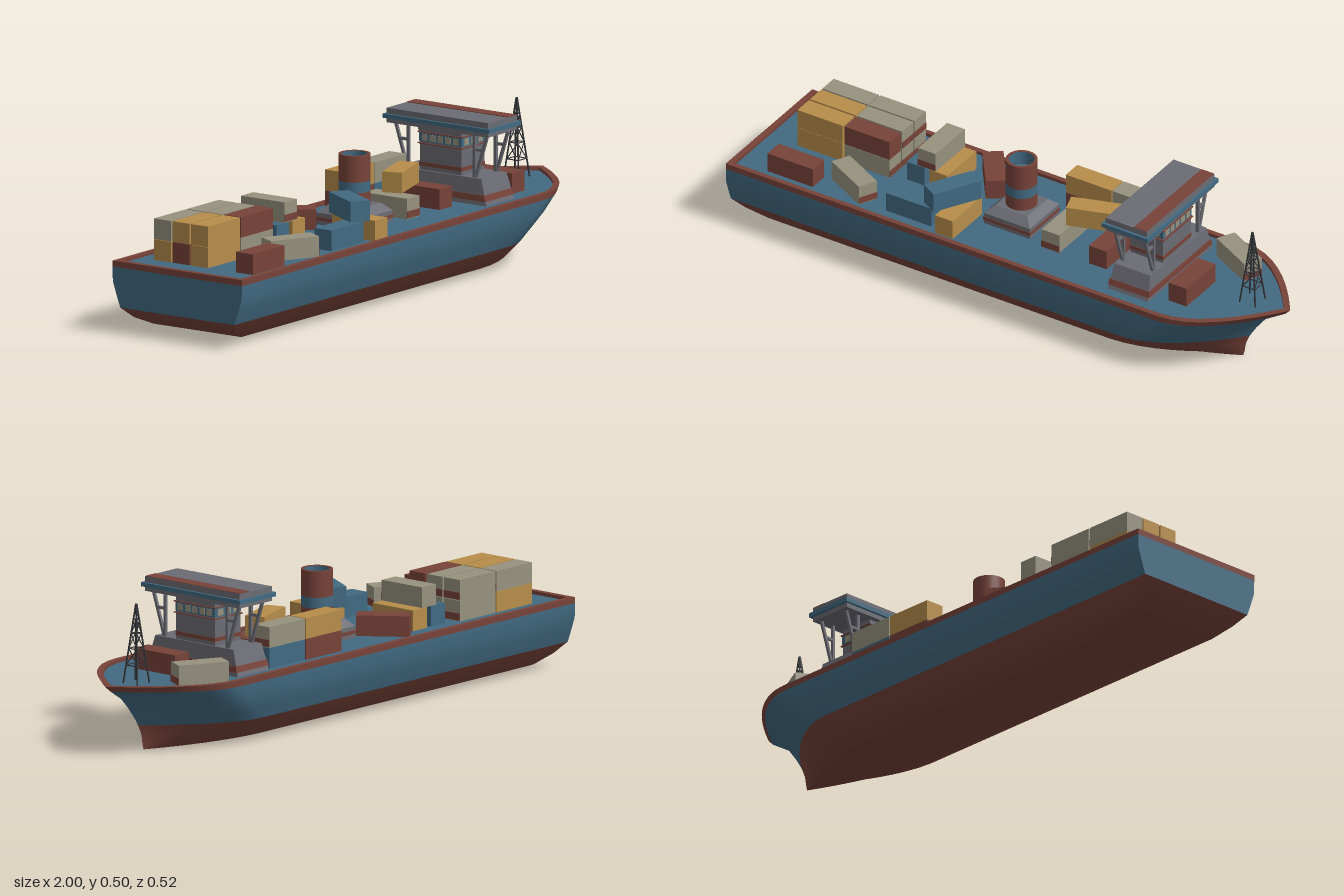
import * as THREE from 'three';
import { toCreasedNormals } from 'three/addons/utils/BufferGeometryUtils.js';

const mat = (name, color, side = THREE.FrontSide) =>
  Object.assign(new THREE.MeshStandardMaterial({ color, side }), { name });

export function createModel() {
  const model = new THREE.Group();
  model.name = 'cargoShip';
  const blue = mat('blue', 0x426a82, THREE.DoubleSide);
  const red = mat('red', 0x774238, THREE.DoubleSide);
  const yellow = mat('yellow', 0xb68d4a);
  const beige = mat('beige', 0x97927f);
  const grey = mat('grey', 0x6b6b74);
  const dark = mat('darkSteel', 0x34363a);

  const add = (name, geo, material, parent = model) => {
    const mesh = new THREE.Mesh(geo, material);
    mesh.name = name;
    parent.add(mesh);
    return mesh;
  };
  // box given by its lower and upper limits
  const box = (name, material, x0, x1, y0, y1, z0, z1, parent = model) => {
    const m = add(name, new THREE.BoxGeometry(x1 - x0, y1 - y0, z1 - z0), material, parent);
    m.position.set((x0 + x1) / 2, (y0 + y1) / 2, (z0 + z1) / 2);
    return m;
  };
  // square bar between two points
  const beam = (name, material, a, b, t, parent = model) => {
    const p = new THREE.Vector3(...a), q = new THREE.Vector3(...b);
    const m = add(name, new THREE.BoxGeometry(t, p.distanceTo(q), t), material, parent);
    m.position.copy(p).add(q).multiplyScalar(0.5);
    m.quaternion.setFromUnitVectors(new THREE.Vector3(0, 1, 0), q.sub(p).normalize());
    return m;
  };

  // ---- Hull: horizontal rings, stern to bow and back ----
  const MID = 6, TAPER = 12, M = MID + TAPER, N = 2 * M + 1;
  const ring = ([y, stern, bow, w, start, power]) => {
    const half = [];
    for (let i = 0; i <= M; i++) {
      const s = i <= MID ? 0 : Math.sin((i - MID) / TAPER * Math.PI / 2);
      const x = i <= MID ? stern + (start - stern) * i / MID : start + (bow - start) * s;
      half.push([x, y, i === M ? 0 : w * (1 - s ** power)]);
    }
    return [...half, ...half.slice(0, M).reverse().map(([x, h, z]) => [x, h, -z])];
  };
  const surface = (rings, cap) => {
    const pos = [], idx = [];
    rings.forEach(r => r.forEach(p => pos.push(...p)));
    for (let i = 0; i < rings.length - 1; i++) for (let j = 0; j < N; j++) {
      const k = (j + 1) % N, a = i * N + j, b = i * N + k;
      idx.push(a, b, b + N, a, b + N, a + N);
    }
    if (cap) for (let j = 0; j < M; j++) {
      const a = j, b = j + 1, c = N - 2 - j, d = N - 1 - j;
      if (cap > 0) idx.push(a, b, c, a, c, d);
      else idx.push(a, c, b, a, d, c);
    }
    const g = new THREE.BufferGeometry();
    g.setAttribute('position', new THREE.Float32BufferAttribute(pos, 3));
    g.setIndex(idx);
    return toCreasedNormals(g, 0.7);
  };
  // y, stern x, bow x, half width, where the bow taper starts, taper power
  const bottom = [[0, -0.78, 0.82, 0.12, 0.4, 1.7], [0.02, -0.89, 0.825, 0.176, 0.42, 1.8],
    [0.05, -0.96, 0.83, 0.202, 0.46, 1.8], [0.085, -1, 0.845, 0.228, 0.5, 1.8]].map(ring);
  const topside = [[0.125, -1, 0.87, 0.243, 0.55, 1.8], [0.17, -1, 0.905, 0.258, 0.6, 1.85],
    [0.217, -1, 0.98, 0.259, 0.65, 1.9]].map(ring);
  const edge = ring([0.237, -1, 1, 0.259, 0.66, 1.9]);
  const inner = [0.237, 0.226].map(y => ring([y, -0.98, 0.975, 0.241, 0.65, 1.9]));
  add('lowerHull', surface(bottom, -1), red);
  add('upperHull', surface([bottom[3], ...topside]), blue);
  add('rail', surface([topside[2], edge, ...inner]), red);
  add('deck', surface([inner[1]], 1), blue);

  // ---- Containers: colour, x, z, turn in degrees, layer ----
  const cargo = new THREE.Group();
  cargo.name = 'containers';
  model.add(cargo);
  const L = 0.174, H = 0.068, W = 0.068, DECK = 0.226;
  const container = (material, x, z, turn = 0, layer = 0) => {
    const g = new THREE.Group();
    g.name = 'container';
    g.position.set(x, DECK + layer * (H + 0.001), z);
    g.rotation.y = -turn * Math.PI / 180;
    cargo.add(g);
    box('containerBody', material, -L / 2, L / 2, 0, H, -W / 2, W / 2, g);
    if (material === beige)
      box('containerMark', red, L / 2, L / 2 + 0.002, 0.003, 0.026, -W / 2, W / 2, g);
  };
  // aft stacks, two high
  [[-0.153, yellow, beige, beige, beige], [-0.079, red, beige, yellow, beige],
    [-0.004, yellow, beige, yellow, red]].forEach(([z, a, b, c, d]) => {
    container(a, -0.785, z); container(b, -0.605, z);
    container(c, -0.785, z, 0, 1); container(d, -0.605, z, 0, 1);
  });
  // loose and scattered ones
  [[red, -0.785, 0.175], [beige, -0.58, 0.145, 27],
    [blue, -0.433, -0.08, 90], [yellow, -0.346, -0.08, 90], [beige, -0.39, -0.08, 90, 1],
    [red, -0.215, -0.125, 54], [blue, -0.338, 0.163], [yellow, -0.187, 0.135, 90],
    [blue, -0.22, 0.118, -60, 1],
    [red, 0.15, -0.153], [blue, 0.328, -0.153], [yellow, 0.15, -0.153, 0, 1], [beige, 0.328, -0.153, 0, 1],
    [beige, 0.147, 0.018, 90], [red, 0.327, 0.016, 90], [yellow, 0.24, -0.015, -18, 1],
    [red, 0.662, 0.06, 90], [beige, 0.71, -0.147, 27]].forEach(c => container(...c));

  // ---- Funnel on a sloped plinth ----
  const frustum = (x0, x1, z, y0, y1, kx, kz) => {
    const g = new THREE.BoxGeometry(x1 - x0, y1 - y0, 2 * z), p = g.attributes.position;
    for (let i = 0; i < p.count; i++) if (p.getY(i) > 0) {
      p.setX(i, p.getX(i) * kx);
      p.setZ(i, p.getZ(i) * kz);
    }
    g.translate((x0 + x1) / 2, (y0 + y1) / 2, 0);
    g.computeVertexNormals();
    return g;
  };
  const FX = -0.031;
  box('funnelBase', grey, FX - 0.088, FX + 0.088, 0.226, 0.265, -0.088, 0.088);
  add('funnelPlinth', frustum(FX - 0.088, FX + 0.088, 0.088, 0.265, 0.29, 0.7, 0.7), grey);
  box('funnelBaseStripe', red, FX - 0.09, FX + 0.09, 0.24, 0.251, -0.09, 0.09);
  [[red, 0.29, 0.335], [blue, 0.335, 0.37], [red, 0.37, 0.457]].forEach(([m, y0, y1]) => {
    add('funnelBand', new THREE.CylinderGeometry(0.052, 0.052, y1 - y0, 24, 1, true), m)
      .position.set(FX, (y0 + y1) / 2, 0);
  });
  add('funnelLining', new THREE.CylinderGeometry(0.042, 0.042, 0.05, 24, 1, true), blue).position.set(FX, 0.431, 0);
  add('funnelFloor', new THREE.CircleGeometry(0.042, 24).rotateX(-Math.PI / 2), blue).position.set(FX, 0.41, 0);
  add('funnelRim', new THREE.RingGeometry(0.042, 0.052, 24).rotateX(-Math.PI / 2), red).position.set(FX, 0.457, 0);

  // ---- Bridge ----
  const bridge = new THREE.Group();
  bridge.name = 'bridge';
  model.add(bridge);
  add('bridgeBase', frustum(0.425, 0.578, 0.193, 0.226, 0.312, 0.9, 0.87), grey, bridge);
  add('bridgeBaseStripe', frustum(0.423, 0.58, 0.1905, 0.24, 0.26, 0.975, 0.97), red, bridge);
  box('bridgeTower', grey, 0.44, 0.565, 0.312, 0.457, -0.083, 0.083, bridge);
  box('towerStripe', red, 0.438, 0.567, 0.325, 0.338, -0.085, 0.085, bridge);
  box('windowBand', blue, 0.438, 0.567, 0.406, 0.434, -0.085, 0.085, bridge);
  [0.4, 0.437].forEach(y => box('towerTrim', red, 0.434, 0.571, y - 0.0015, y + 0.0015, -0.089, 0.089, bridge));
  for (let i = -2; i <= 2; i++) {
    const z = i * 0.031;
    box('window', beige, 0.4365, 0.5685, 0.409, 0.431, z - 0.011, z + 0.011, bridge);
  }
  for (let i = -1; i <= 1; i++) {
    const x = 0.5025 + i * 0.038;
    box('sideWindow', beige, x - 0.013, x + 0.013, 0.409, 0.431, -0.0865, 0.0865, bridge);
  }
  box('bridgeRoof', grey, 0.422, 0.58, 0.455, 0.503, -0.203, 0.203, bridge);
  box('roofBand', blue, 0.413, 0.589, 0.47, 0.484, -0.213, 0.213, bridge);
  box('roofStripe', red, 0.53, 0.578, 0.502, 0.505, -0.202, 0.202, bridge);
  for (const s of [-1, 1]) for (const x of [0.445, 0.56]) {
    beam('wingPost', grey, [x, 0.31, s * 0.133], [x, 0.457, s * 0.133], 0.01, bridge);
    beam('wingBrace', grey, [x, 0.312, s * 0.137], [x, 0.457, s * 0.184], 0.009, bridge);
    beam('wingTie', grey, [x, 0.404, s * 0.133], [x, 0.404, s * 0.165], 0.009, bridge);
  }

  // ---- Lattice mast on the bow ----
  const mast = new THREE.Group();
  mast.name = 'mast';
  mast.position.set(0.855, 0.226, 0);
  model.add(mast);
  const corners = [[1, 1], [1, -1], [-1, -1], [-1, 1]];
  const at = (k, y) => {
    const r = 0.03 * (1 - y / 0.27);
    return [corners[k % 4][0] * r, y, corners[k % 4][1] * r];
  };
  const steps = [0.06, 0.115, 0.165, 0.21, 0.245];
  for (let k = 0; k < 4; k++) {
    beam('mastLeg', dark, at(k, 0), at(k, 0.262), 0.004, mast);
    steps.forEach((y, i) => {
      beam('mastRung', dark, at(k, y), at(k + 1, y), 0.0028, mast);
      if (i < 4) beam('mastBrace', dark, at(k + i % 2, y), at(k + 1 - i % 2, steps[i + 1]), 0.0025, mast);
    });
  }
  return model;
}
